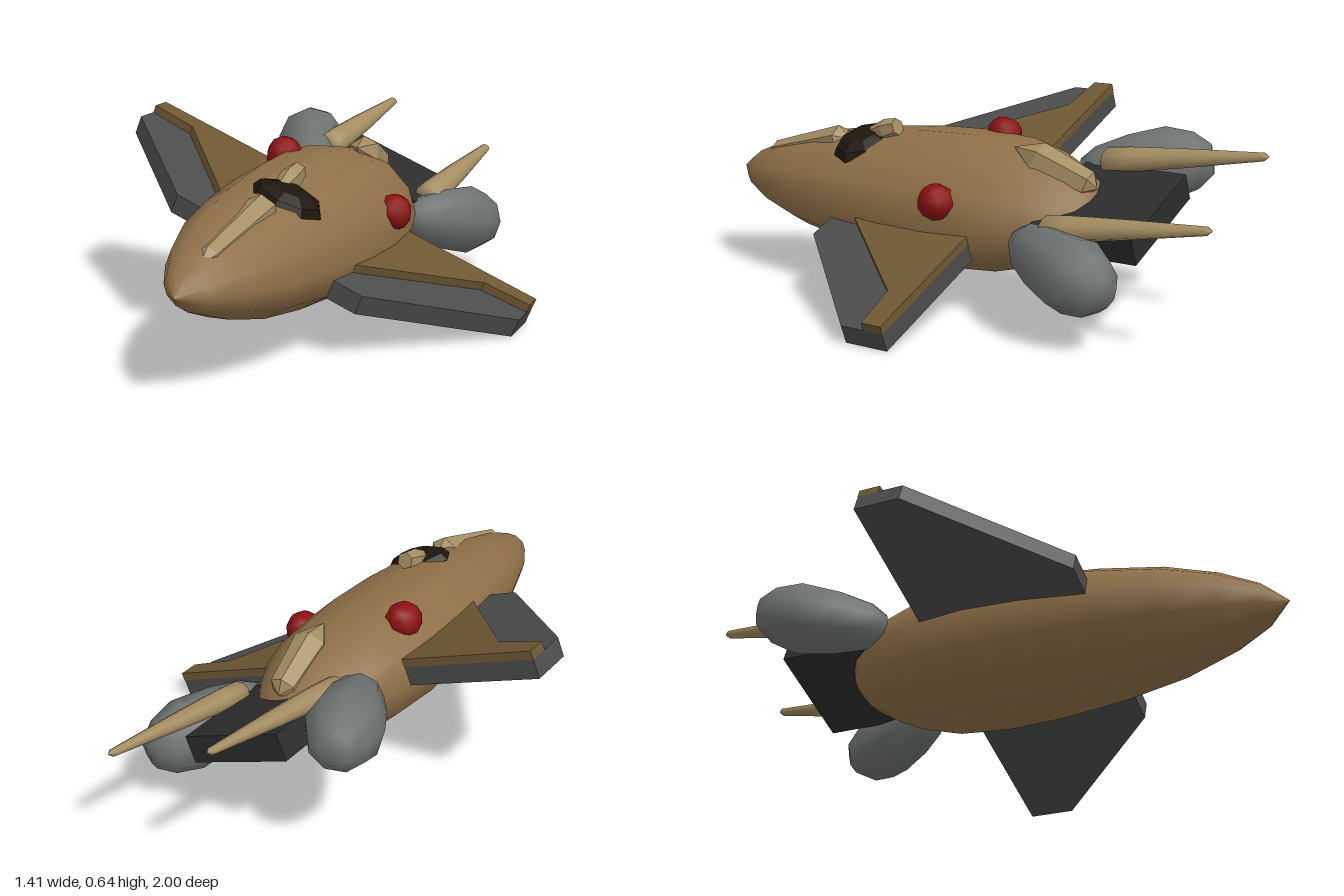
import * as THREE from 'three';

const mat = (color, flatShading = false) => new THREE.MeshStandardMaterial({ color, flatShading });
const hull = mat(0x8f7048), bone = mat(0xa48d62), boneFlat = mat(0xa48d62, true), plate = mat(0x6e5833, true);
const grey = mat(0x4c4c4c, true), dark = mat(0x2c2c2c, true), pod = mat(0x6d7371);
const red = mat(0x8c1010), black = mat(0x1c150c, true);

function add(parent, name, geometry, material) {
  const mesh = new THREE.Mesh(geometry, material);
  mesh.name = name;
  parent.add(mesh);
  return mesh;
}

// Turned solid along a line; profile is [share of length, radius]
function spindle(parent, name, from, to, profile, sides, material) {
  const a = new THREE.Vector3(...from), dir = new THREE.Vector3(...to).sub(a);
  const length = dir.length();
  const pts = profile.map(([t, r]) => new THREE.Vector2(r, t * length));
  const mesh = add(parent, name, new THREE.LatheGeometry(pts, sides), material);
  mesh.position.copy(a);
  mesh.quaternion.setFromUnitVectors(new THREE.Vector3(0, 1, 0), dir.normalize());
  return mesh;
}

// Flat slab from an outline of [x, z] points between two heights
function slab(parent, name, outline, side, y0, y1, material) {
  const shape = new THREE.Shape(outline.map(([x, z]) => new THREE.Vector2(x * side, -z)));
  const geometry = new THREE.ExtrudeGeometry(shape, { depth: y1 - y0, bevelEnabled: false });
  geometry.rotateX(-Math.PI / 2).translate(0, y0, 0);
  return add(parent, name, geometry, material);
}

export function createModel() {
  const model = new THREE.Group();
  model.name = 'bankingCraft';

  // The whole craft is rolled towards its left
  const craft = new THREE.Group();
  craft.name = 'rolledCraft';
  craft.position.y = 0.323;
  craft.rotation.z = -THREE.MathUtils.degToRad(22);
  model.add(craft);

  // Fuselage: twelve-sided, flattened, pointed at the nose
  const rings = [[0, -0.5], [0.07, -0.5], [0.125, -0.465], [0.175, -0.4], [0.225, -0.31], [0.265, -0.18],
    [0.28, 0], [0.272, 0.2], [0.246, 0.42], [0.205, 0.63], [0.145, 0.8], [0.08, 0.92], [0, 1]];
  const body = new THREE.LatheGeometry(rings.map(([r, z]) => new THREE.Vector2(r, z)), 12, Math.PI / 12);
  body.rotateX(Math.PI / 2).scale(1, 0.75, 1).translate(0, 0.008, 0);
  add(craft, 'fuselage', body, hull);

  // Cockpit window
  const window = new THREE.SphereGeometry(1, 8, 6).scale(0.122, 0.05, 0.1);
  add(craft, 'cockpitWindow', window, black).position.set(0, 0.168, 0.395);

  // Engine block at the tail
  const block = new THREE.BoxGeometry(0.38, 0.09, 0.36);
  add(craft, 'engineBlock', block, dark).position.set(0, 0.032, -0.535);

  for (const side of [1, -1]) {
    const label = side > 0 ? 'left' : 'right';
    // Wing: grey underside with a smaller upper plate
    slab(craft, label + 'Wing', [[0.1, 0.415], [0.34, 0.415], [0.741, 0], [0.741, -0.155], [0.1, -0.155]],
      side, -0.046, 0.018, grey);
    slab(craft, label + 'WingPlate', [[0.1, 0.46], [0.266, 0.28], [0.577, -0.07], [0.741, -0.085],
      [0.741, -0.157], [0.1, -0.157]], side, 0.018, 0.046, plate);

    // Side eye
    const eye = new THREE.SphereGeometry(0.064, 8, 6).scale(0.95, 0.95, 1);
    add(craft, label + 'Eye', eye, red).position.set(side * 0.214, 0.13, -0.035);

    // Bulbous thruster pod, splayed outwards
    spindle(craft, label + 'ThrusterPod', [side * 0.2, 0.025, -0.31], [side * 0.385, 0.015, -0.71],
      [[0, 0], [0.03, 0.045], [0.15, 0.08], [0.4, 0.108], [0.68, 0.122], [0.88, 0.095], [1, 0.05], [1, 0]], 9, pod);

    // Rear tusk
    spindle(craft, label + 'Tusk', [side * 0.205, 0.086, -0.43], [side * 0.205, 0.168, -1],
      [[0, 0], [0, 0.05], [0.15, 0.049], [0.5, 0.037], [0.97, 0.016], [1, 0]], 10, bone).scale.z = 0.75;
  }

  // Spines along the back
  spindle(model, 'noseSpine', [0.015, 0.395, 0.87], [0.04, 0.485, 0.475],
    [[0, 0], [0.12, 0.036], [0.9, 0.054], [1, 0]], 6, boneFlat);
  spindle(model, 'cockpitHorn', [0.035, 0.5, 0.43], [0.042, 0.548, 0.27],
    [[0, 0], [0.2, 0.02], [0.7, 0.037], [1, 0.03], [1, 0]], 6, boneFlat);
  spindle(model, 'tailSpine', [0.045, 0.53, -0.2], [0.015, 0.42, -0.49],
    [[0, 0], [0.3, 0.058], [0.9, 0.045], [1, 0]], 6, boneFlat);

  return model;
}
